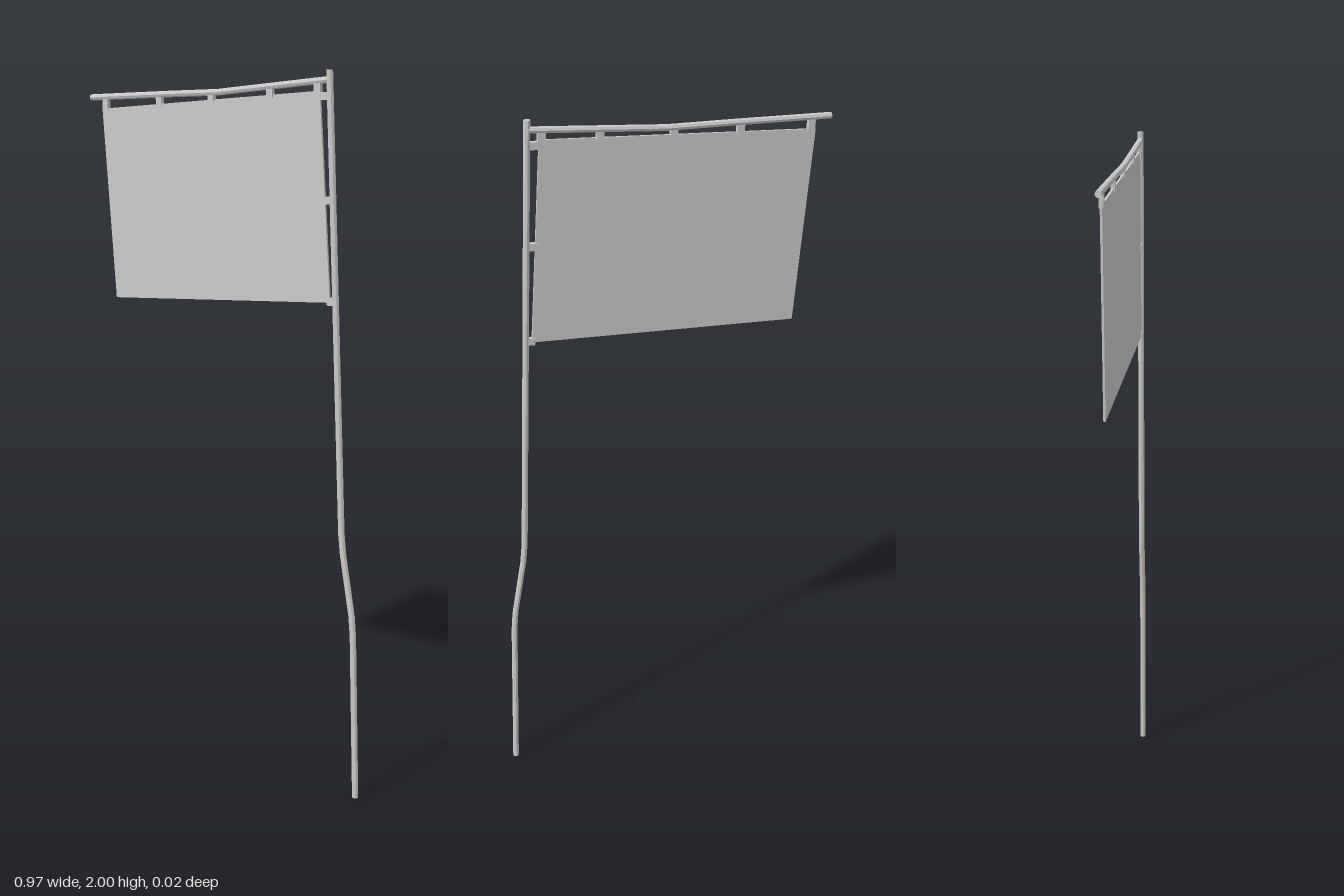
import * as THREE from 'three';

const material = new THREE.MeshStandardMaterial({ color: 0xcccccc, flatShading: true });

// Capped rod whose rings sit on the given [x, y] points, listed from bottom to top.
// With sideways set, rings stand upright and the points run along x.
function rod(name, points, radius, sideways = false) {
  const n = points.length - 1;
  const geometry = new THREE.CylinderGeometry(radius, radius, n, 8, n);
  const p = geometry.attributes.position;
  for (let i = 0; i < p.count; i++) {
    const [cx, cy] = points[Math.round(p.getY(i) + n / 2)];
    const offset = p.getX(i);
    if (sideways) p.setXYZ(i, cx, cy - offset, p.getZ(i));
    else p.setXYZ(i, cx + offset, cy, p.getZ(i));
  }
  geometry.computeVertexNormals();
  const mesh = new THREE.Mesh(geometry, material);
  mesh.name = name;
  return mesh;
}

// Short flat strap joining two [x, y] points
function strap(name, [ax, ay], [bx, by]) {
  const length = Math.hypot(bx - ax, by - ay);
  const mesh = new THREE.Mesh(new THREE.BoxGeometry(length, 0.02, 0.012), material);
  mesh.position.set((ax + bx) / 2, (ay + by) / 2, 0);
  mesh.rotation.z = Math.atan2(by - ay, bx - ax);
  mesh.name = name;
  return mesh;
}

export function createModel() {
  const group = new THREE.Group();
  group.name = 'bannerOnPole';

  // Crooked pole and the slightly bent bar along the top
  group.add(rod('pole', [[0.476, 0], [0.456, 0.48], [0.45, 0.54], [0.418, 0.71], [0.411, 0.77], [0.346, 2]], 0.009));
  group.add(rod('topBar', [[-0.488, 1.919], [-0.2, 1.932], [-0.02, 1.939], [0.06, 1.947], [0.346, 1.975]], 0.009, true));

  // Thin cloth panel
  const outline = [[-0.444, 1.888], [-0.401, 1.342], [0.361, 1.401], [0.318, 1.947]];
  const shape = new THREE.Shape(outline.map(([x, y]) => new THREE.Vector2(x, y)));
  const clothGeometry = new THREE.ExtrudeGeometry(shape, { depth: 0.006, bevelEnabled: false });
  clothGeometry.translate(0, 0, -0.003);
  const cloth = new THREE.Mesh(clothGeometry, material);
  cloth.name = 'cloth';
  group.add(cloth);

  // Straps from the cloth to the top bar
  const topStraps = [[-0.432, 1.921], [-0.228, 1.931], [-0.042, 1.938], [0.157, 1.956], [0.31, 1.971]];
  for (const [x, y] of topStraps) {
    const clothY = 1.888 + (x + 0.444) * 0.0775;
    group.add(strap('topStrap', [x + 0.002, clothY - 0.008], [x, y]));
  }

  // Straps from the cloth to the pole
  for (const y of [1.935, 1.67, 1.405]) {
    const clothX = 0.318 + (1.947 - y) * 0.0788;
    const poleX = 0.346 + (2 - y) * 0.053;
    group.add(strap('sideStrap', [clothX - 0.008, y - 0.002], [poleX, y]));
  }
  return group;
}
